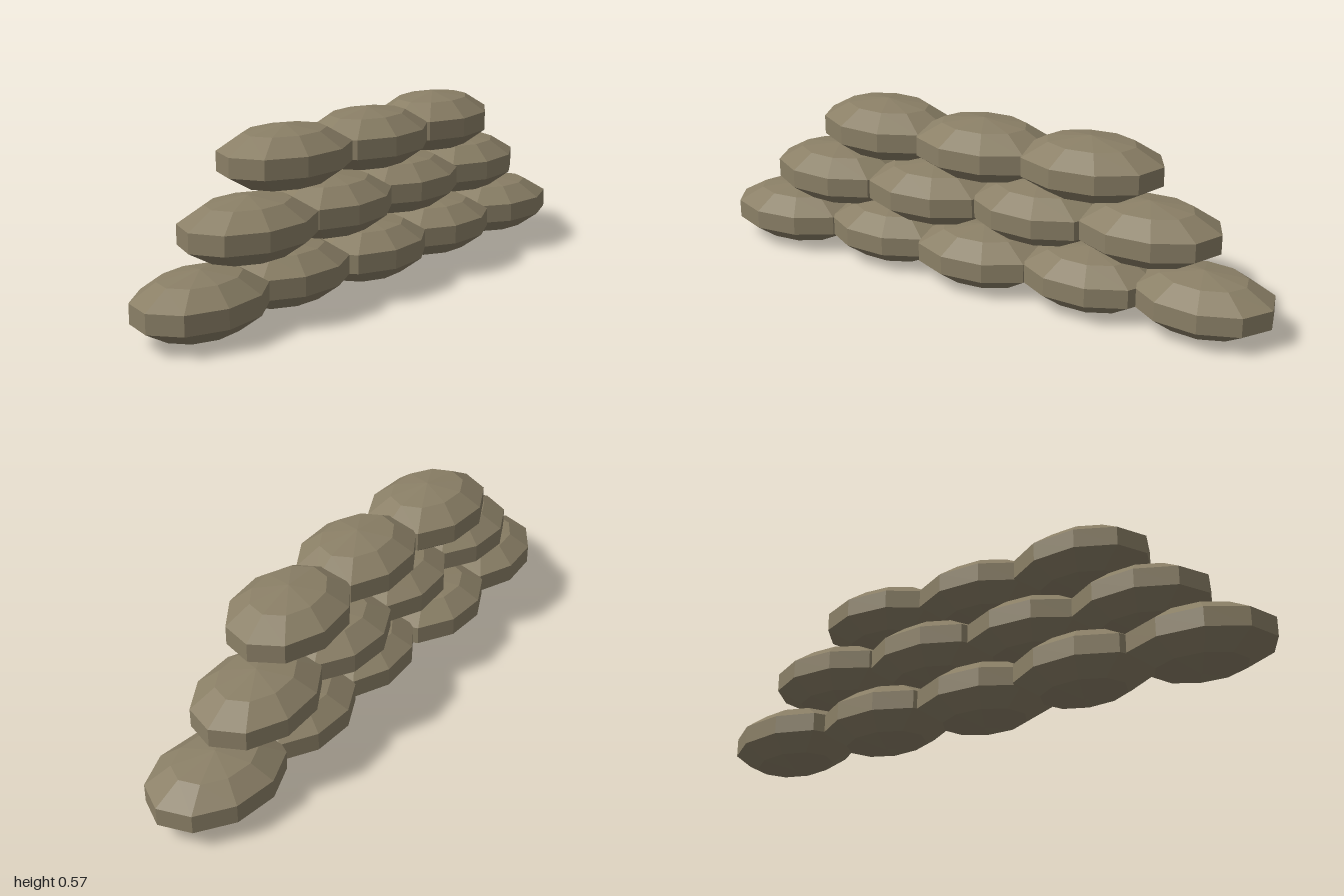
import * as THREE from 'three';

// Each row: height of its centre and its bags as [x, z, yaw]
const rows = [
  { name: 'bottomRow', y: 0.102, bags: [[-0.763, 0, 0.08], [-0.38, -0.018, -0.06], [0, 0.013, 0.05], [0.38, 0, -0.05], [0.763, -0.007, -0.13]] },
  { name: 'middleRow', y: 0.287, bags: [[-0.57, 0.014, -0.06], [-0.19, 0.014, 0.05], [0.19, -0.005, -0.06], [0.57, -0.018, 0.03]] },
  { name: 'topRow', y: 0.47, bags: [[-0.38, -0.005, -0.05], [0, 0.015, 0.03], [0.375, 0.003, 0.1]] },
];

export function createModel() {
  const group = new THREE.Group();
  group.name = 'sandbagWall';

  // Plump low-poly bag: a coarse sphere squashed into a cushion
  const bagGeometry = new THREE.SphereGeometry(1, 10, 5).scale(0.25, 0.1, 0.183);
  const cloth = new THREE.MeshStandardMaterial({ color: 0x8a7f66, flatShading: true });

  // Stacked courses, each one bag shorter and offset by half a bag
  for (const { name, y, bags } of rows) {
    const row = new THREE.Group();
    row.name = name;
    row.position.y = y;
    bags.forEach(([x, z, yaw], i) => {
      const bag = new THREE.Mesh(bagGeometry, cloth);
      bag.name = `sandbag${i + 1}`;
      bag.position.set(x, 0, z);
      bag.rotation.y = yaw;
      row.add(bag);
    });
    group.add(row);
  }
  return group;
}
